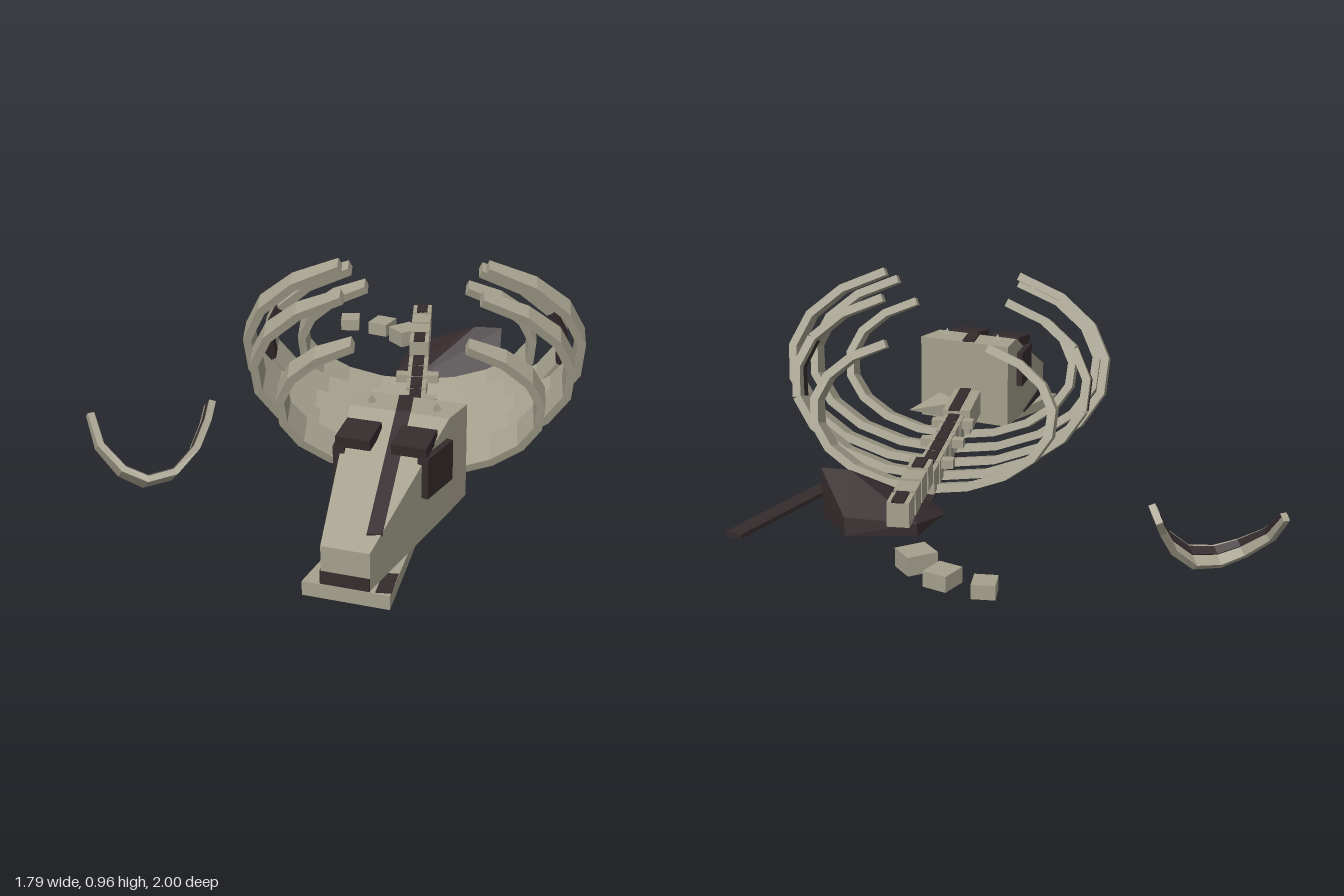
import * as THREE from 'three';
import { ConvexGeometry } from 'three/addons/geometries/ConvexGeometry.js';

const V = (x, y, z) => new THREE.Vector3(x, y, z);
const bone = new THREE.MeshStandardMaterial({ color: 0xa5a08d, flatShading: true });
bone.name = 'bone';
const dark = new THREE.MeshStandardMaterial({ color: 0x352b2d, flatShading: true });
dark.name = 'darkBone';

function add(parent, name, geometry, material, pos = [0, 0, 0], rot = [0, 0, 0]) {
  const mesh = new THREE.Mesh(geometry, material);
  mesh.name = name;
  mesh.position.set(...pos);
  mesh.rotation.set(...rot);
  parent.add(mesh);
  return mesh;
}

// Skin of matching cross-sections (counterclockwise about the direction of travel), capped
function loft(rings) {
  const out = [];
  const quad = (a, b, c, d) => [a, b, c, a, c, d].forEach((p) => out.push(p.x, p.y, p.z));
  for (let i = 0; i < rings.length - 1; i++) {
    const r = rings[i], s = rings[i + 1];
    for (let j = 0; j < 4; j++) {
      const k = (j + 1) % 4;
      quad(r[j], r[k], s[k], s[j]);
    }
  }
  quad(...[...rings[0]].reverse());
  quad(...rings[rings.length - 1]);
  const g = new THREE.BufferGeometry();
  g.setAttribute('position', new THREE.Float32BufferAttribute(out, 3));
  g.computeVertexNormals();
  return g;
}

// Flat band following points; w is the direction of its width, from and to limit the width (-1..1)
function band(points, w, widths, thick, from = -1, to = 1) {
  return loft(points.map((p, i) => {
    const a = points[Math.max(i - 1, 0)], b = points[Math.min(i + 1, points.length - 1)];
    const v = b.clone().sub(a).normalize().cross(w).normalize();
    const corner = (m, n) => p.clone().addScaledVector(w, m * widths[i] / 2).addScaledVector(v, n * thick / 2);
    return [corner(from, -1), corner(to, -1), corner(to, 1), corner(from, 1)];
  }));
}

// Rectangular section across z
const rect = (z, x0, x1, y0, y1) => [V(x0, y0, z), V(x1, y0, z), V(x1, y1, z), V(x0, y1, z)];
const section = (z, hw, y0, y1) => rect(z, -hw, hw, y0, y1);

function makeSkull() {
  const skull = new THREE.Group();
  skull.name = 'skull';
  skull.position.set(-0.205, 0, 0.49);
  skull.rotation.y = -0.826;
  add(skull, 'cranium', loft([
    section(0, 0.18, 0.31, 0.62), section(0.12, 0.16, 0.3, 0.62), section(0.6, 0.075, 0.27, 0.39),
  ]), bone);
  add(skull, 'jaw', loft([section(0.25, 0.1, 0.25, 0.285), section(0.6, 0.135, 0.22, 0.265)]), bone);
  add(skull, 'lip', new THREE.BoxGeometry(0.15, 0.04, 0.008), dark, [0, 0.29, 0.601]);
  add(skull, 'sideLip', loft([
    rect(0.25, -0.144, -0.136, 0.291, 0.297), rect(0.6, -0.079, -0.071, 0.27, 0.31),
  ]), dark);
  for (const m of [-1, 1]) {
    add(skull, 'eyeSocket', new THREE.BoxGeometry(0.035, 0.13, 0.16), dark, [m * 0.147, 0.495, 0.216], [0, -m * 0.18, 0]);
    add(skull, 'browPlate', new THREE.BoxGeometry(0.11, 0.035, 0.11), dark, [m * 0.088, 0.583, 0.24], [0.15, 0, 0]);
    add(skull, 'skullBump', new THREE.ConeGeometry(0.028, 0.04, 3), bone, [m * 0.105, 0.625, 0.075]);
  }
  // Dark stripe running diagonally over and under the skull
  const across = V(1, 0, -0.24).normalize();
  const stripe = (name, pts) => add(skull, name, band(pts, across, pts.map(() => 0.045), 0.008), dark);
  stripe('topStripe', [V(0.068, 0.419, 0.54), V(0.013, 0.622, 0.12), V(-0.015, 0.622, 0.005)]);
  stripe('jawTopStripe', [V(0.1, 0.271, 0.49), V(0.112, 0.266, 0.59)]);
  stripe('jawStripe', [V(0.112, 0.22, 0.59), V(0.045, 0.249, 0.265)]);
  stripe('palateStripe', [V(0.045, 0.29, 0.25), V(-0.015, 0.309, 0.01)]);
  return skull;
}

function makeBody() {
  const body = new THREE.Group();
  body.name = 'ribcageAndSpine';
  body.position.set(0.14, 0, -0.09);
  body.rotation.y = -0.547;

  // Five pairs of ribs, opening upward and leaning toward the skull
  const lean = 0.31, steps = 8, sweep = 2.7;
  const w = V(0, -lean, 1).normalize();
  const sizes = [[0.405, 0.24], [0.505, 0.302], [0.555, 0.332], [0.515, 0.302], [0.415, 0.243]];
  sizes.forEach(([a, b], i) => {
    for (const m of [-1, 1]) {
      const pts = [], widths = [];
      for (let k = 0; k <= steps; k++) {
        const t = sweep * k / steps;
        pts.push(V(m * a * Math.sin(t), 0.315 + b * (1 - Math.cos(t)), i * 0.143 - lean * b * Math.cos(t)));
        widths.push(0.128 - 0.078 * (k / steps) ** 2);
      }
      const part = (name, first, last, mat, ...span) =>
        add(body, name, band(pts.slice(first, last + 1), w, widths.slice(first, last + 1), 0.028, ...span), mat);
      if (i === 1) {
        part('ribLower', 0, 4, bone);
        part('ribMiddle', 4, 6, bone, -1, 0);
        part('ribDarkMiddle', 4, 6, dark, 0, 1);
        part('ribUpper', 6, steps, bone);
      } else part('rib', 0, steps, bone);
    }
  });

  // Spine with a dark stripe on most of its upper side
  for (let k = 0; k < 10; k++) {
    const z = -0.56 + k * 0.105;
    const y = z < -0.15 ? 0.425 : 0.375;
    add(body, 'vertebra', new THREE.BoxGeometry(0.07, 0.08, 0.085), bone, [0, y, z]);
    if (k !== 1 && k !== 2) {
      add(body, 'vertebraStripe', new THREE.BoxGeometry(0.04, 0.008, 0.085), dark, [0, y + 0.042, z]);
    }
    if (k > 3 && k % 2) {
      add(body, 'sideProcess', new THREE.BoxGeometry(0.15, 0.03, 0.04), bone, [0, y + 0.02, z]);
    }
  }
  add(body, 'keelStripe', new THREE.BoxGeometry(0.045, 0.009, 0.68), dark, [0, 0.297, 0.19]);
  return body;
}

export function createModel() {
  const model = new THREE.Group();
  model.name = 'skeletonRemains';
  model.add(makeSkull(), makeBody());

  // Neck bone and spike behind the skull
  add(model, 'neck', new THREE.BoxGeometry(0.1, 0.09, 0.26), bone, [-0.15, 0.39, 0.37], [0, -0.547, 0]);
  add(model, 'neckStripe', new THREE.BoxGeometry(0.04, 0.008, 0.26), dark, [-0.14, 0.437, 0.37], [0, -0.547, 0]);
  add(model, 'neckSpike', new ConvexGeometry([
    V(0.06, 0.42, 0.37), V(-0.1, 0.36, 0.47), V(-0.1, 0.44, 0.47), V(-0.14, 0.36, 0.36), V(-0.14, 0.43, 0.36),
  ]), bone);

  // Wedge-shaped pelvis
  add(model, 'pelvis', new ConvexGeometry([
    V(0.21, 0.31, -0.38), V(0.21, 0.31, -0.27), V(0.48, 0.31, -0.09), V(0.58, 0.31, -0.25),
    V(0.57, 0.31, -0.44), V(0.36, 0.31, -0.52), V(0.36, 0.35, -0.52), V(0.57, 0.37, -0.43),
    V(0.5, 0.47, -0.29), V(0.58, 0.47, -0.23),
  ]), dark);

  // Scattered tail bones
  [[0.43, 0.315, -0.7, 0.1, 0.06, 0.1], [0.4, 0.31, -0.84, 0.09, 0.05, 0.6], [0.312, 0.308, -0.95, 0.08, 0.045, 1.05]]
    .forEach(([x, y, z, s, h, r]) => add(model, 'tailBone', new THREE.BoxGeometry(s, h, s * 0.9), bone, [x, y, z], [0, r, 0]));

  // Loose limb bone lying beside the ribs
  add(model, 'limbBone', new THREE.BoxGeometry(0.61, 0.015, 0.06), dark, [0.635, 0.287, -0.062], [0, 0.645, 0]);

  // Loose fallen rib with a dark strip along its inner face
  const pts = [
    V(-0.88, 0.25, -0.685), V(-0.88, 0.155, -0.6), V(-0.83, 0.08, -0.515), V(-0.76, 0.042, -0.47),
    V(-0.66, 0.052, -0.46), V(-0.57, 0.125, -0.47), V(-0.51, 0.21, -0.5), V(-0.475, 0.265, -0.535),
  ];
  const n = V(0, 0.62, 0.78).normalize();
  const widths = [0.032, 0.05, 0.068, 0.08, 0.086, 0.086, 0.082, 0.075];
  add(model, 'looseRib', band(pts, n, widths, 0.024), bone);
  const inner = pts.map((p) => p.clone().lerp(V(-0.68, 0.25, -0.62), 0.05));
  add(model, 'looseRibStrip', band(inner, n, widths, 0.009, 0, 0.8), dark);
  return model;
}
